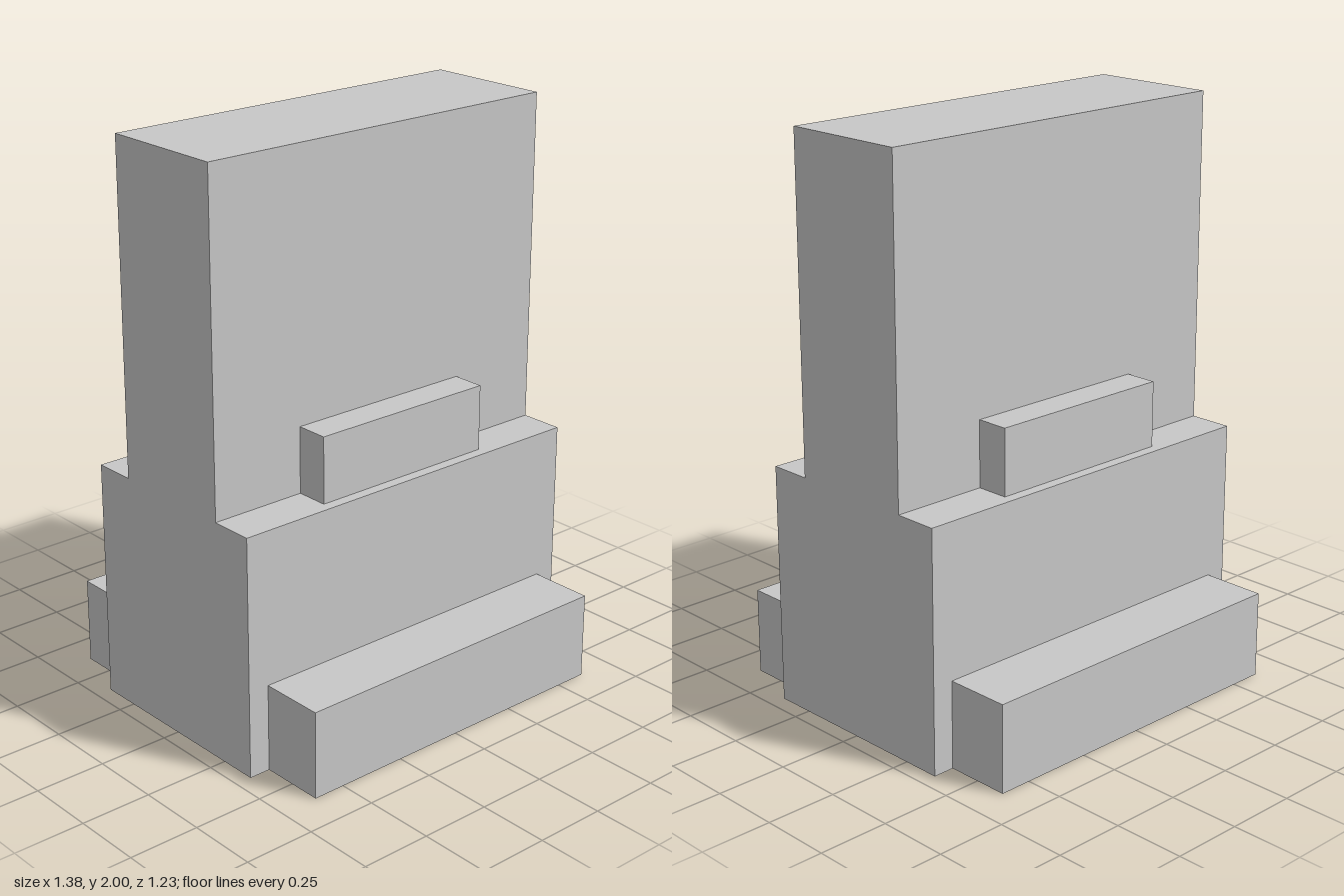
import * as THREE from 'three';

// All sizes are whole or half multiples of one module
const U = 1 / 13;

export function createModel() {
  const model = new THREE.Group();
  model.name = 'steppedBlock';
  const grey = new THREE.MeshStandardMaterial({ color: 0xc7c7c7 });
  grey.name = 'lightGrey';

  // Stepped slab: side profile (depth, height) extruded across the width
  const profile = [[5, 0], [5, 11], [3, 11], [3, 26], [-3, 26], [-3, 11], [-5, 11], [-5, 0]];
  const shape = new THREE.Shape(profile.map(([d, h]) => new THREE.Vector2(d * U, h * U)));
  const slab = new THREE.ExtrudeGeometry(shape, { depth: 18 * U, bevelEnabled: false });
  slab.translate(0, 0, -9 * U);
  slab.rotateY(Math.PI / 2);
  const body = new THREE.Mesh(slab, grey);
  body.name = 'steppedSlab';
  model.add(body);

  // Box standing against the slab, from depth z0 out to z1, on one side
  const addBlock = (name, width, y0, y1, z0, z1, side) => {
    const block = new THREE.Mesh(
      new THREE.BoxGeometry(width * U, (y1 - y0) * U, (z1 - z0) * U), grey);
    block.position.set(0, (y0 + y1) / 2 * U, side * (z0 + z1) / 2 * U);
    block.name = name;
    model.add(block);
  };

  // Step at the foot and small block on the ledge, front and back
  for (const [label, side] of [['front', 1], ['back', -1]]) {
    addBlock(label + 'FootStep', 16, 0, 4, 5, 8, side);
    addBlock(label + 'LedgeBlock', 9, 11, 14, 3, 4.5, side);
  }
  return model;
}
